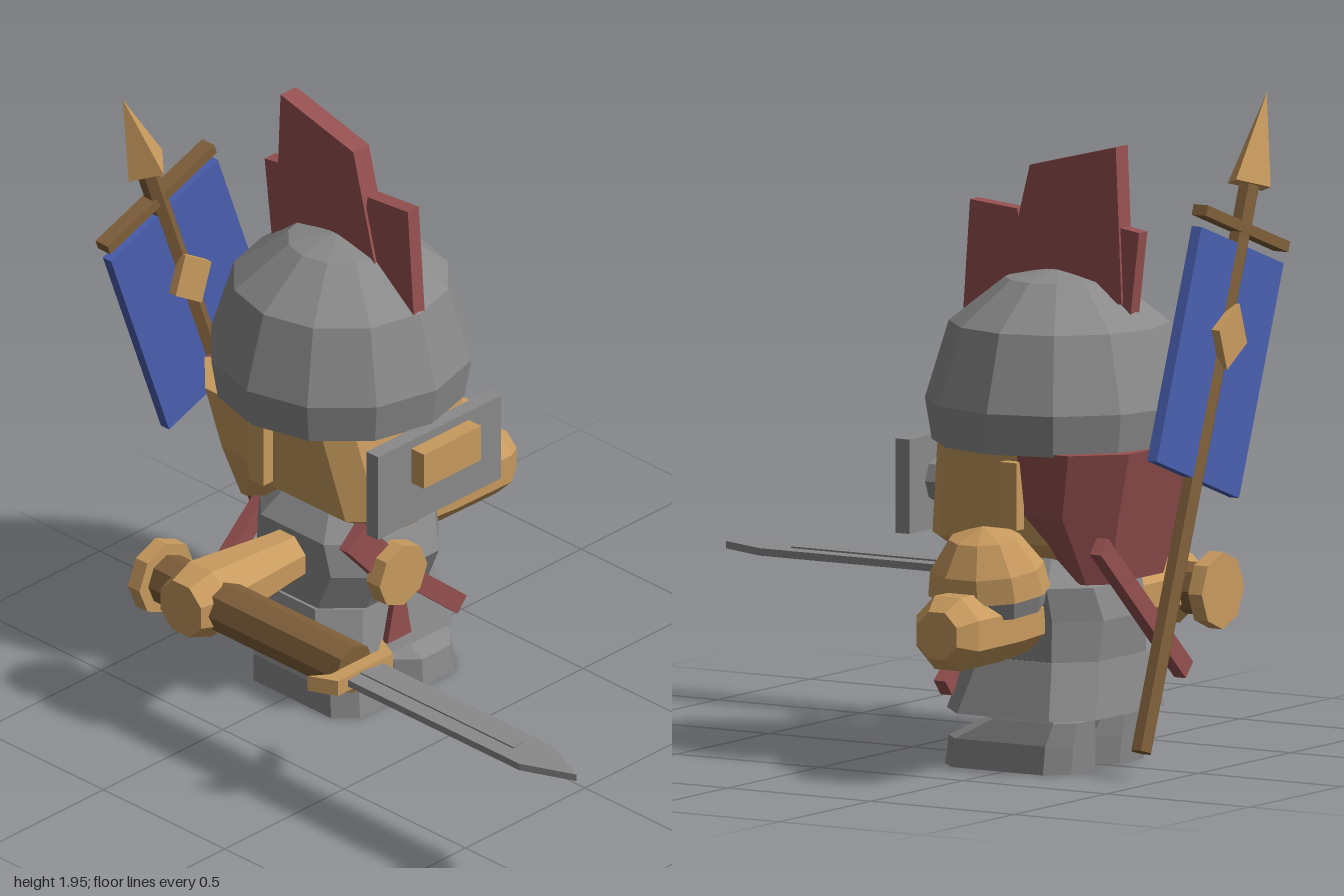
import * as THREE from 'three';

const mat = (name, color) => Object.assign(new THREE.MeshStandardMaterial({ color }), { name });
const steel = mat('steel', 0x8a8a8a);
const tan = mat('tan', 0xc89a5e);
const wood = mat('wood', 0x80603a);
const red = mat('red', 0x965050);
const blue = mat('blue', 0x4a60b0);

const CX = 0.025, CZ = -0.53;

// Faceted geometry
function flat(geo) {
  const g = geo.index ? geo.toNonIndexed() : geo;
  g.computeVertexNormals();
  return g;
}

function add(parent, name, geo, material, x = 0, y = 0, z = 0) {
  const mesh = new THREE.Mesh(flat(geo), material);
  mesh.name = name;
  mesh.position.set(x, y, z);
  parent.add(mesh);
  return mesh;
}

const box = (w, h, d) => new THREE.BoxGeometry(w, h, d);

// Stack of chamfered rectangles: [y, x0, x1, zBack, zFront, chamfer].
// Each of the 8 sides gets its own group so sides can differ in colour.
function loft(sections) {
  const rings = sections.map(([y, x0, x1, z0, z1, c]) => [
    [x0 + c, y, z1], [x1 - c, y, z1], [x1, y, z1 - c], [x1, y, z0 + c],
    [x1 - c, y, z0], [x0 + c, y, z0], [x0, y, z0 + c], [x0, y, z1 - c]]);
  const mid = ([y, x0, x1, z0, z1]) => [(x0 + x1) / 2, y, (z0 + z1) / 2];
  const lo = mid(sections[0]), hi = mid(sections[sections.length - 1]);
  const pos = [], geo = new THREE.BufferGeometry();
  for (let i = 0; i < 8; i++) {
    const k = (i + 1) % 8, start = pos.length / 3;
    for (let j = 0; j + 1 < rings.length; j++) {
      const a = rings[j][i], b = rings[j][k], c = rings[j + 1][k], d = rings[j + 1][i];
      pos.push(...a, ...b, ...c, ...a, ...c, ...d);
    }
    const top = rings[rings.length - 1];
    pos.push(...lo, ...rings[0][k], ...rings[0][i], ...hi, ...top[i], ...top[k]);
    geo.addGroup(start, pos.length / 3 - start, i);
  }
  geo.setAttribute('position', new THREE.Float32BufferAttribute(pos, 3));
  return geo;
}

// Outline extruded symmetrically about its plane
function plate(points, depth) {
  const shape = new THREE.Shape(points.map(([a, b]) => new THREE.Vector2(a, b)));
  return new THREE.ExtrudeGeometry(shape, { depth, bevelEnabled: false }).translate(0, 0, -depth / 2);
}

const lathe = (points, n) =>
  new THREE.LatheGeometry(points.map(([r, y]) => new THREE.Vector2(r, y)), n);

function buildBody(model) {
  // Boots, tunic skirt, chest and collar
  for (const s of [-1, 1]) {
    const x = 0.028 + s * 0.132;
    add(model, s > 0 ? 'leftBoot' : 'rightBoot', loft([
      [0, x - 0.125, x + 0.125, -0.7, -0.26, 0.06],
      [0.085, x - 0.12, x + 0.12, -0.705, -0.27, 0.06],
      [0.15, x - 0.1, x + 0.1, -0.71, -0.4, 0.05],
      [0.175, x - 0.09, x + 0.09, -0.7, -0.42, 0.05]]), steel);
  }
  add(model, 'tunicSkirt', loft([
    [0.165, -0.26, 0.315, -0.78, -0.26, 0.1],
    [0.33, -0.215, 0.26, -0.755, -0.3, 0.1]]), steel);
  add(model, 'chest', loft([
    [0.33, -0.205, 0.255, -0.75, -0.3, 0.1],
    [0.45, -0.2, 0.25, -0.76, -0.24, 0.11],
    [0.55, -0.2, 0.265, -0.74, -0.28, 0.1],
    [0.64, -0.12, 0.17, -0.68, -0.35, 0.08]]), steel);

  // Sash with round clasp
  const strip = (name, x0, y0, x1, y1, w, z) => {
    const m = add(model, name, box(Math.hypot(x1 - x0, y1 - y0), w, 0.04), red,
      (x0 + x1) / 2, (y0 + y1) / 2, z);
    m.rotation.z = Math.atan2(y1 - y0, x1 - x0);
  };
  strip('sashTop', -0.205, 0.63, -0.07, 0.48, 0.1, -0.255);
  strip('sashBottom', -0.05, 0.47, 0.24, 0.225, 0.06, -0.262);
  strip('backSash', 0.26, 0.69, -0.2, 0.27, 0.06, -0.82);
  add(model, 'sashTail', plate([[-0.075, 0.38], [-0.105, 0.245], [-0.005, 0.245], [-0.03, 0.38]], 0.02),
    red, 0, 0, -0.22);
  add(model, 'clasp', new THREE.CylinderGeometry(0.1, 0.1, 0.055, 8).rotateX(Math.PI / 2),
    tan, -0.058, 0.465, -0.218);
}

function buildHead(model) {
  add(model, 'head', loft([
    [0.585, -0.06, 0.11, -0.68, -0.24, 0.06],
    [0.68, -0.22, 0.27, -0.76, -0.2, 0.07],
    [0.97, -0.27, 0.32, -0.8, -0.25, 0.07]]), tan);
  // Neck guard, red round to the back and tan on the far side
  add(model, 'neckGuard', loft([
    [0.565, -0.17, 0.22, -0.8, -0.68, 0.05],
    [0.77, -0.27, 0.32, -0.85, -0.485, 0.12],
    [0.965, -0.3, 0.35, -0.9, -0.47, 0.13]]), [red, red, red, red, red, tan, tan, tan]);
  for (const s of [-1, 1]) {
    add(model, 'ear', box(0.04, 0.2, 0.06), tan, CX + s * 0.305, 0.83, -0.56);
    add(model, 'eye', new THREE.CylinderGeometry(0.07, 0.07, 0.04, 8).rotateX(Math.PI / 2),
      steel, CX + s * 0.13, 0.83, -0.21);
  }
  add(model, 'mouth', box(0.14, 0.04, 0.03), red, CX, 0.715, -0.2);

  // Helmet dome
  add(model, 'helmet', lathe([[0, 0.957], [0.375, 0.957], [0.395, 1.08], [0.325, 1.31],
    [0.16, 1.44], [0, 1.475]], 12), steel, CX, 0, CZ);
  // Visor
  add(model, 'visor', box(0.515, 0.28, 0.048), steel, 0.028, 0.82, -0.15);
  add(model, 'visorPanel', box(0.24, 0.115, 0.052), tan, 0.03, 0.875, -0.101);

  // Crest fins, outlined in the side plane as (-z, y)
  const fin = (name, pts, w) =>
    add(model, name, plate(pts, w).rotateY(Math.PI / 2), red, 0.028);
  fin('crestFront', [[0.21, 1.3], [0.45, 1.3], [0.4, 1.635], [0.235, 1.65]], 0.046);
  fin('crestMiddle', [[0.35, 1.38], [0.77, 1.38], [0.75, 1.845], [0.45, 1.77]], 0.065);
  fin('crestBack', [[0.7, 1.3], [0.79, 1.3], [0.825, 1.595], [0.7, 1.615]], 0.046);
}

function buildArms(model) {
  // Arms as tapered octagons along x
  const arm = (name, s, pts) => {
    const g = lathe(pts, 8).rotateY(Math.PI / 8).rotateZ(-s * Math.PI / 2);
    add(model, name, g, tan, 0, 0.455, CZ);
  };
  arm('rightArm', -1, [[0, 0.1], [0.075, 0.1], [0.085, 0.25], [0.118, 0.56], [0.09, 0.645], [0, 0.645]]);
  arm('leftArm', 1, [[0, 0.15], [0.095, 0.15], [0.115, 0.4], [0.118, 0.63], [0.075, 0.69], [0, 0.69]]);

  // Left shoulder pad with steel rim
  const pad = new THREE.Group();
  pad.name = 'shoulderPad';
  pad.position.set(0.405, 0.555, CZ);
  pad.rotation.z = -0.17;
  pad.scale.set(0.87, 1, 1);
  model.add(pad);
  add(pad, 'padDome', lathe([[0, 0], [0.188, 0], [0.175, 0.075], [0.11, 0.165], [0, 0.198]], 10), tan);
  add(pad, 'padRim', new THREE.CylinderGeometry(0.18, 0.165, 0.055, 10), steel, 0, -0.025, 0);
}

function buildSword(model) {
  const sword = new THREE.Group();
  sword.name = 'sword';
  sword.position.set(-0.543, 0.455, 0);
  model.add(sword);
  const rod = (r, len) => new THREE.CylinderGeometry(r, r, len, 8).rotateX(Math.PI / 2);
  add(sword, 'pommel', rod(0.115, 0.048), tan, 0, 0, -0.712);
  add(sword, 'grip', rod(0.078, 0.78), wood, 0, 0, -0.305);
  // Outlines are drawn as (x, z) and laid flat
  const lay = (pts, t) => plate(pts.map(([x, z]) => [x, -z]).reverse(), t).rotateX(-Math.PI / 2);
  add(sword, 'guard', lay([[-0.155, 0.045], [-0.1, 0.085], [0.1, 0.085], [0.155, 0.045],
    [0.115, 0.13], [-0.115, 0.13]], 0.05), tan);
  add(sword, 'blade', lay([[-0.072, 0.12], [0.072, 0.12], [0.072, 0.835], [0, 1.0], [-0.072, 0.835]], 0.022), steel);
  add(sword, 'bladeRidge', box(0.04, 0.032, 0.64), steel, 0, 0, 0.44);
}

function buildBanner(model) {
  // Leaning pole; children are placed along its own y axis
  const banner = new THREE.Group();
  banner.name = 'banner';
  banner.position.set(0.195, 0.08, -0.925);
  banner.rotation.z = THREE.MathUtils.degToRad(20);
  model.add(banner);
  add(banner, 'pole', new THREE.CylinderGeometry(0.033, 0.033, 1.72, 6), wood, 0, 0.86, 0);
  add(banner, 'spearTip', new THREE.ConeGeometry(0.075, 0.28, 4), tan, 0, 1.855, 0);
  add(banner, 'crossbar', box(0.475, 0.032, 0.05), wood, 0, 1.585, 0);
  add(banner, 'cloth', box(0.475, 0.71, 0.034), blue, 0, 1.18, 0);
  add(banner, 'diamond', plate([[-0.08, 0], [0, -0.1], [0.08, 0], [0, 0.1]], 0.09), tan, 0, 1.26, 0);
}

export function createModel() {
  const model = new THREE.Group();
  model.name = 'knight';
  buildBody(model);
  buildHead(model);
  buildArms(model);
  buildSword(model);
  buildBanner(model);
  return model;
}
